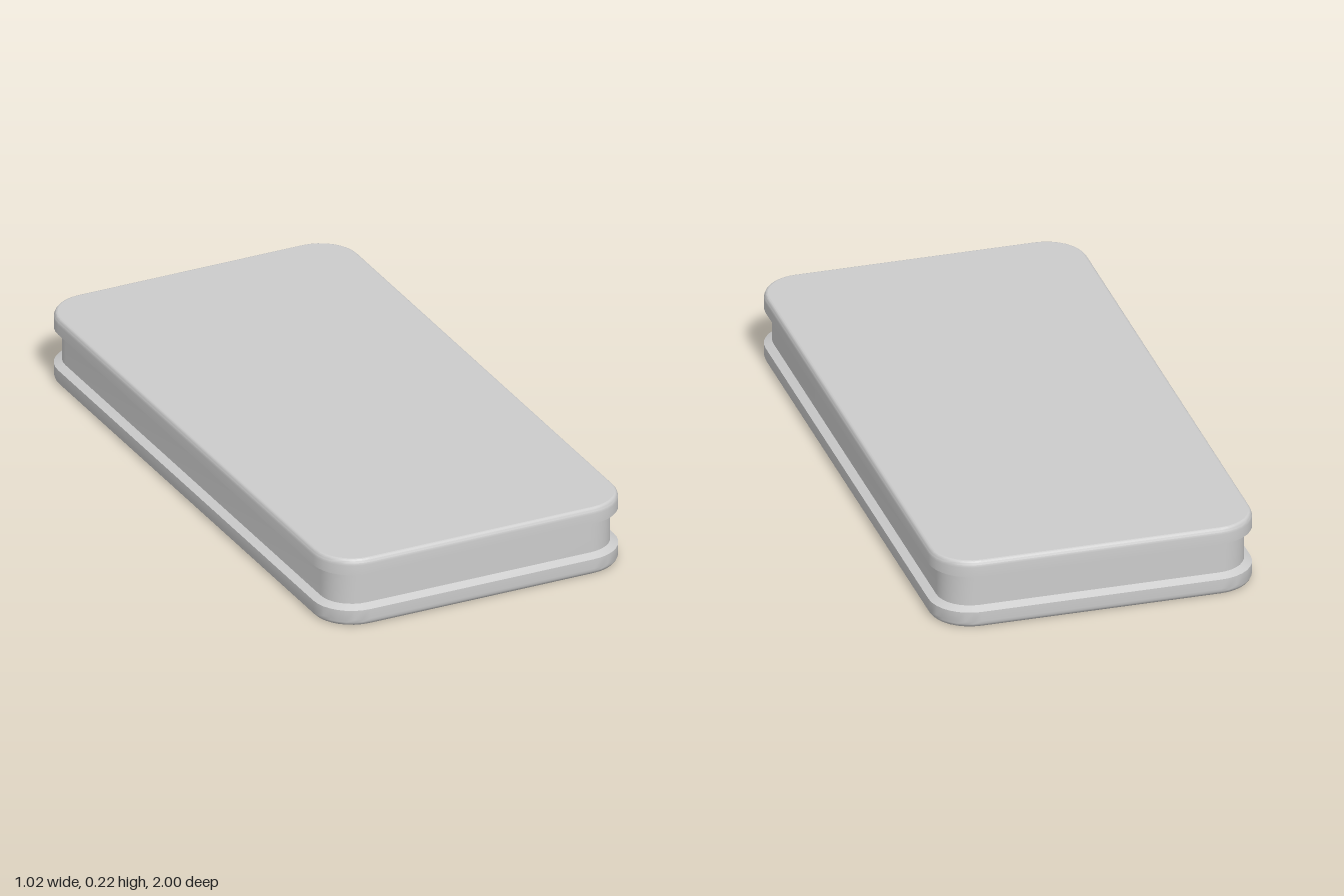
import * as THREE from 'three';
import { toCreasedNormals } from 'three/addons/utils/BufferGeometryUtils.js';

const HALF_W = 0.51, HALF_L = 1, RADIUS = 0.13, HEIGHT = 0.225, SEG = 8;
const GROOVE = 0.025, BEVEL_IN = 0.012, BEVEL_H = 0.02;

// Rounded rectangle, pulled inwards by inset, counter-clockwise
function outline(inset) {
  const r = RADIUS - inset, points = [];
  [[1, 1], [-1, 1], [-1, -1], [1, -1]].forEach(([sx, sy], corner) => {
    for (let i = 0; i <= SEG; i++) {
      const a = (corner + i / SEG) * Math.PI / 2;
      points.push(new THREE.Vector2(
        sx * (HALF_W - RADIUS) + r * Math.cos(a),
        sy * (HALF_L - RADIUS) + r * Math.sin(a)));
    }
  });
  return points;
}

// Skin through the outlines of a profile of [inset, y], listed upwards
function loft(profile) {
  const positions = [], index = [], n = outline(0).length;
  for (const [inset, y] of profile) {
    for (const p of outline(inset)) positions.push(p.x, y, -p.y);
  }
  for (let k = 0; k < profile.length - 1; k++) {
    for (let j = 0; j < n; j++) {
      const a = k * n + j, b = k * n + (j + 1) % n;
      index.push(a, b, b + n, a, b + n, a + n);
    }
  }
  const geometry = new THREE.BufferGeometry();
  geometry.setAttribute('position', new THREE.Float32BufferAttribute(positions, 3));
  geometry.setIndex(index);
  return toCreasedNormals(geometry, Math.PI / 6);
}

// Flat face closing the top (side 1) or the bottom (side -1)
function cap(side) {
  const geometry = new THREE.ShapeGeometry(new THREE.Shape(outline(BEVEL_IN)));
  geometry.rotateX(-side * Math.PI / 2);
  geometry.translate(0, side > 0 ? HEIGHT : 0, 0);
  return geometry;
}

export function createModel() {
  const model = new THREE.Group();
  model.name = 'groovedSlab';
  const material = new THREE.MeshStandardMaterial({ color: 0xcccccc });
  const add = (name, geometry) => {
    const mesh = new THREE.Mesh(geometry, material);
    mesh.name = name;
    model.add(mesh);
  };

  // Rim: rounded outer edge, straight side, slope into the groove
  const lowerRim = [];
  for (let i = 0; i <= 4; i++) {
    const a = i / 4 * Math.PI / 2;
    lowerRim.push([BEVEL_IN * (1 - Math.sin(a)), BEVEL_H * (1 - Math.cos(a))]);
  }
  lowerRim.push([0, 0.052], [GROOVE, 0.064]);
  const upperRim = lowerRim.map(([inset, y]) => [inset, HEIGHT - y]).reverse();

  add('lowerRim', loft(lowerRim));
  add('upperRim', loft(upperRim));

  // Recessed wall between the rims
  add('grooveWall', loft([[GROOVE, 0.064], [GROOVE, HEIGHT - 0.064]]));

  add('topFace', cap(1));
  add('bottomFace', cap(-1));
  return model;
}
